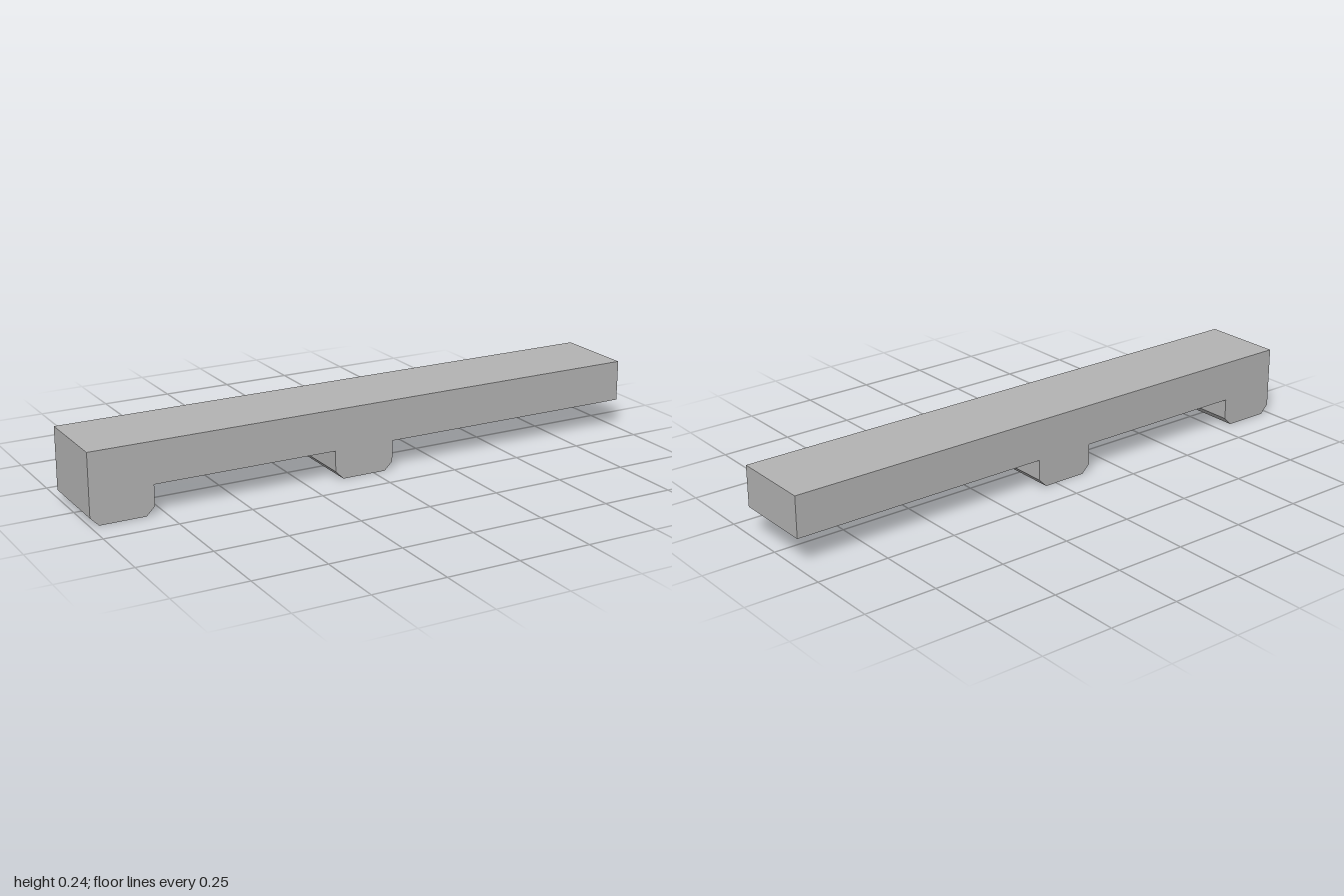
import * as THREE from 'three';
import { toCreasedNormals } from 'three/addons/utils/BufferGeometryUtils.js';

const HALF_WIDTH = 0.143, BAR_BOTTOM = 0.101, BAR_TOP = 0.243;
const FOOT_WIDTH = 0.215, CHAMFER = 0.029;
const SLOT = { x: 0.714, halfStraight: 0.147, radius: 0.081, depth: 0.043 };

// Closed band of walls along an outline; a counterclockwise outline faces outward
function walls(points, z0, z1, skip = -1) {
  const pos = [];
  points.forEach((a, i) => {
    if (i === skip) return;
    const b = points[(i + 1) % points.length];
    pos.push(a.x, a.y, z0, b.x, b.y, z0, b.x, b.y, z1);
    pos.push(a.x, a.y, z0, b.x, b.y, z1, a.x, a.y, z1);
  });
  const g = new THREE.BufferGeometry();
  g.setAttribute('position', new THREE.Float32BufferAttribute(pos, 3));
  return toCreasedNormals(g, 0.5);
}

// Chamfered foot outline, starting at the left end of its sole
function footPoints(x) {
  const r = x + FOOT_WIDTH;
  return [[x + CHAMFER, 0], [r - CHAMFER, 0], [r, CHAMFER], [r, BAR_BOTTOM]];
}

export function createModel() {
  const group = new THREE.Group();
  const grey = new THREE.MeshStandardMaterial({ color: 0xb3b3b3 });
  grey.name = 'grey';
  const add = (name, geometry, parent = group) => {
    const mesh = new THREE.Mesh(geometry, grey);
    mesh.name = name;
    parent.add(mesh);
    return mesh;
  };

  // Side profile of the bar with its two feet
  const middle = -0.144;
  const profile = [
    ...footPoints(-1),
    [middle, BAR_BOTTOM], [middle, CHAMFER],
    ...footPoints(middle),
    [1, BAR_BOTTOM], [1, BAR_TOP], [-1, BAR_TOP], [-1, CHAMFER],
  ].map(([x, y]) => new THREE.Vector2(x, y));

  // The underside of the free end is left open here for the slotted panel
  add('barAndFeet', walls(profile, -HALF_WIDTH, HALF_WIDTH, 9));
  const side = new THREE.ShapeGeometry(new THREE.Shape(profile));
  add('frontSide', side).position.z = HALF_WIDTH;
  const back = add('backSide', side.clone().scale(-1, 1, 1));
  // Mirrored outline turned around so that it faces the back
  back.geometry = new THREE.ShapeGeometry(
    new THREE.Shape(profile.map((p) => new THREE.Vector2(-p.x, p.y))));
  back.rotation.y = Math.PI;
  back.position.z = -HALF_WIDTH;

  // Underside panel, drawn flat and turned to face down
  const underside = new THREE.Group();
  underside.name = 'slottedUnderside';
  underside.rotation.x = Math.PI / 2;
  underside.position.y = BAR_BOTTOM;
  group.add(underside);

  // Round-ended slot outline, counterclockwise
  const slotPoints = [];
  for (const end of [1, -1]) {
    for (let i = 0; i <= 24; i++) {
      const t = Math.PI * (i / 24 - 0.5) + (end < 0 ? Math.PI : 0);
      slotPoints.push(new THREE.Vector2(
        SLOT.x + end * SLOT.halfStraight + SLOT.radius * Math.cos(t),
        SLOT.radius * Math.sin(t)));
    }
  }
  const x0 = middle + FOOT_WIDTH;
  const panel = new THREE.Shape([
    new THREE.Vector2(x0, -HALF_WIDTH), new THREE.Vector2(1, -HALF_WIDTH),
    new THREE.Vector2(1, HALF_WIDTH), new THREE.Vector2(x0, HALF_WIDTH),
  ]);
  panel.holes.push(new THREE.Path(slotPoints));
  add('undersidePanel', new THREE.ShapeGeometry(panel), underside);

  // Blind slot: floor and inward-facing wall
  const floor = add('slotFloor', new THREE.ShapeGeometry(new THREE.Shape(slotPoints)), underside);
  floor.position.z = -SLOT.depth;
  add('slotWall', walls([...slotPoints].reverse(), -SLOT.depth, 0), underside);

  return group;
}
